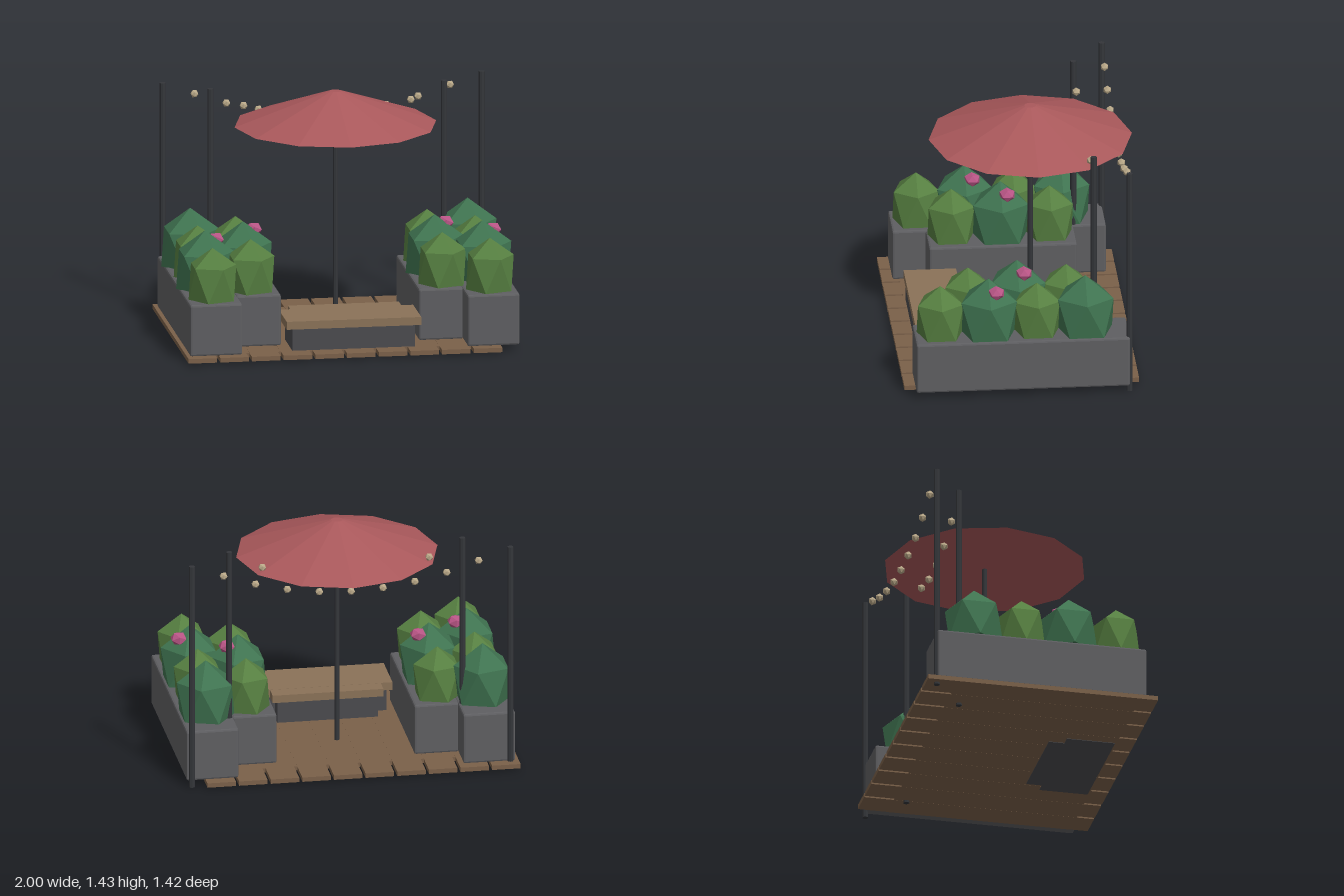
import * as THREE from 'three';
import { RoundedBoxGeometry } from 'three/addons/geometries/RoundedBoxGeometry.js';

const paint = (color) => new THREE.MeshStandardMaterial({ color, flatShading: true });

// Faceted shrub: apex, upper ring, lower ring turned half a step, flat underside
function bushGeometry(radius, top, shoulder, bottom, sides = 5) {
  const pts = [], tri = (...v) => v.forEach((p) => pts.push(...p));
  const ring = (y, turn, k) => {
    const a = ((k + turn) / sides) * Math.PI * 2;
    return [Math.cos(a) * radius, y, -Math.sin(a) * radius];
  };
  for (let k = 0; k < sides; k++) {
    const u0 = ring(shoulder, 0, k), u1 = ring(shoulder, 0, k + 1);
    const l0 = ring(bottom, 0.5, k), l1 = ring(bottom, 0.5, k + 1);
    tri([0, top, 0], u0, u1);
    tri(u0, l0, u1);
    tri(u1, l0, l1);
    tri([0, bottom, 0], l1, l0);
  }
  const g = new THREE.BufferGeometry();
  g.setAttribute('position', new THREE.Float32BufferAttribute(pts, 3));
  g.computeVertexNormals();
  return g;
}

export function createModel() {
  const root = new THREE.Group();
  const wood = paint(0x7a6049), seatWood = paint(0x8a7258), stone = paint(0x5e5e61);
  const darkStone = paint(0x4a4a4e), metal = paint(0x34363a), canvas = paint(0xa9585b);
  const darkLeaf = paint(0x3f7350), lightLeaf = paint(0x567f41);
  const petal = paint(0xb85585), bulbGlass = paint(0xb9a888);

  const group = (name) => {
    const g = new THREE.Group();
    g.name = name;
    root.add(g);
    return g;
  };
  const add = (parent, name, geometry, material, x = 0, y = 0, z = 0) => {
    const m = new THREE.Mesh(geometry, material);
    m.name = name;
    m.position.set(x, y, z);
    parent.add(m);
    return m;
  };
  // Box given by its limits on each axis
  const box = (parent, name, mat, [x0, x1], [y0, y1], [z0, z1], bevel = 0) => {
    const s = [x1 - x0, y1 - y0, z1 - z0];
    const g = bevel ? new RoundedBoxGeometry(...s, 1, bevel) : new THREE.BoxGeometry(...s);
    return add(parent, name, g, mat, (x0 + x1) / 2, (y0 + y1) / 2, (z0 + z1) / 2);
  };

  // Deck: ten planks whose gaps are closed in the middle by a panel
  const deck = group('deck');
  for (let i = 0; i < 10; i++) {
    const x = -1 + i * 0.1885;
    box(deck, 'plank', wood, [x, x + 0.17], [0.013, 0.04], [-0.68, 0.705]);
  }
  box(deck, 'deckPanel', wood, [-0.99, 0.87], [0.0135, 0.0395], [-0.5, 0.6]);

  // Bench: wide front part with a narrower part behind
  const bench = group('bench');
  box(bench, 'benchBase', darkStone, [-0.365, 0.365], [0.01, 0.17], [0.3, 0.59]);
  box(bench, 'benchBaseBack', darkStone, [-0.3, 0.3], [0.01, 0.17], [0.206, 0.3]);
  box(bench, 'benchSeat', seatWood, [-0.4, 0.4], [0.17, 0.218], [0.29, 0.6]);
  box(bench, 'benchSeatBack', seatWood, [-0.33, 0.33], [0.17, 0.217], [0.195, 0.3]);

  // Planters, mirrored left and right
  const planters = group('planters');
  const sorted = (a, b) => [Math.min(a, b), Math.max(a, b)];
  for (const s of [-1, 1]) {
    box(planters, 'outerPlanter', stone, sorted(s * 0.98, s * 0.67), [0.038, 0.348], [-0.618, 0.642], 0.012);
    box(planters, 'innerPlanter', stone, sorted(s * 0.675, s * 0.41), [0.038, 0.348], [-0.425, 0.447], 0.012);
  }

  // Shrubs and blossoms, the same set on both sides
  const plants = group('plants');
  const darkBush = bushGeometry(0.172, 0.693, 0.562, 0.345);
  const lightBush = bushGeometry(0.142, 0.655, 0.55, 0.345);
  const blossom = new THREE.IcosahedronGeometry(0.052, 0).scale(1, 0.8, 1);
  for (const s of [-1, 1]) {
    const outer = s * 0.825, inner = s * 0.57;
    for (const [x, z] of [[outer, -0.365], [outer, 0.205], [inner, 0.015]])
      add(plants, 'darkBush', darkBush, darkLeaf, x, 0, z);
    for (const [x, z] of [[outer, -0.08], [outer, 0.49], [inner, 0.305], [inner, -0.275]])
      add(plants, 'lightBush', lightBush, lightLeaf, x, 0, z);
    add(plants, 'blossom', blossom, petal, outer + 0.07, 0.628, 0.165);
    add(plants, 'blossom', blossom, petal, inner + 0.07, 0.635, -0.02);
  }

  // Light posts
  const posts = group('lightPosts');
  const post = new THREE.CylinderGeometry(0.018, 0.018, 1.393, 8);
  for (const s of [-1, 1]) {
    add(posts, 'backPost', post, metal, s * 0.949, 0.6965, -0.617);
    add(posts, 'innerPost', post, metal, s * 0.695, 0.6965, -0.427);
  }

  // Two sagging rows of bulbs between the posts
  const bulbs = group('stringLights');
  const bulb = new THREE.IcosahedronGeometry(0.025, 0);
  const row = (count, step, z, sag) => {
    for (let i = 0; i < count; i++) {
      const x = (i - (count - 1) / 2) * step;
      add(bulbs, 'bulb', bulb, bulbGlass, x, 1.175 + sag * x * x, z);
    }
  };
  row(9, 0.19, -0.617, 0.25);
  row(6, 0.199, -0.427, 0.44);

  // Parasol
  const parasol = group('parasol');
  parasol.position.z = -0.113;
  add(parasol, 'pole', new THREE.CylinderGeometry(0.015, 0.015, 1.24, 8), metal, 0, 0.64);
  add(parasol, 'canopy', new THREE.CylinderGeometry(0.035, 0.6, 0.2, 12), canvas, 0, 1.33);

  return root;
}
